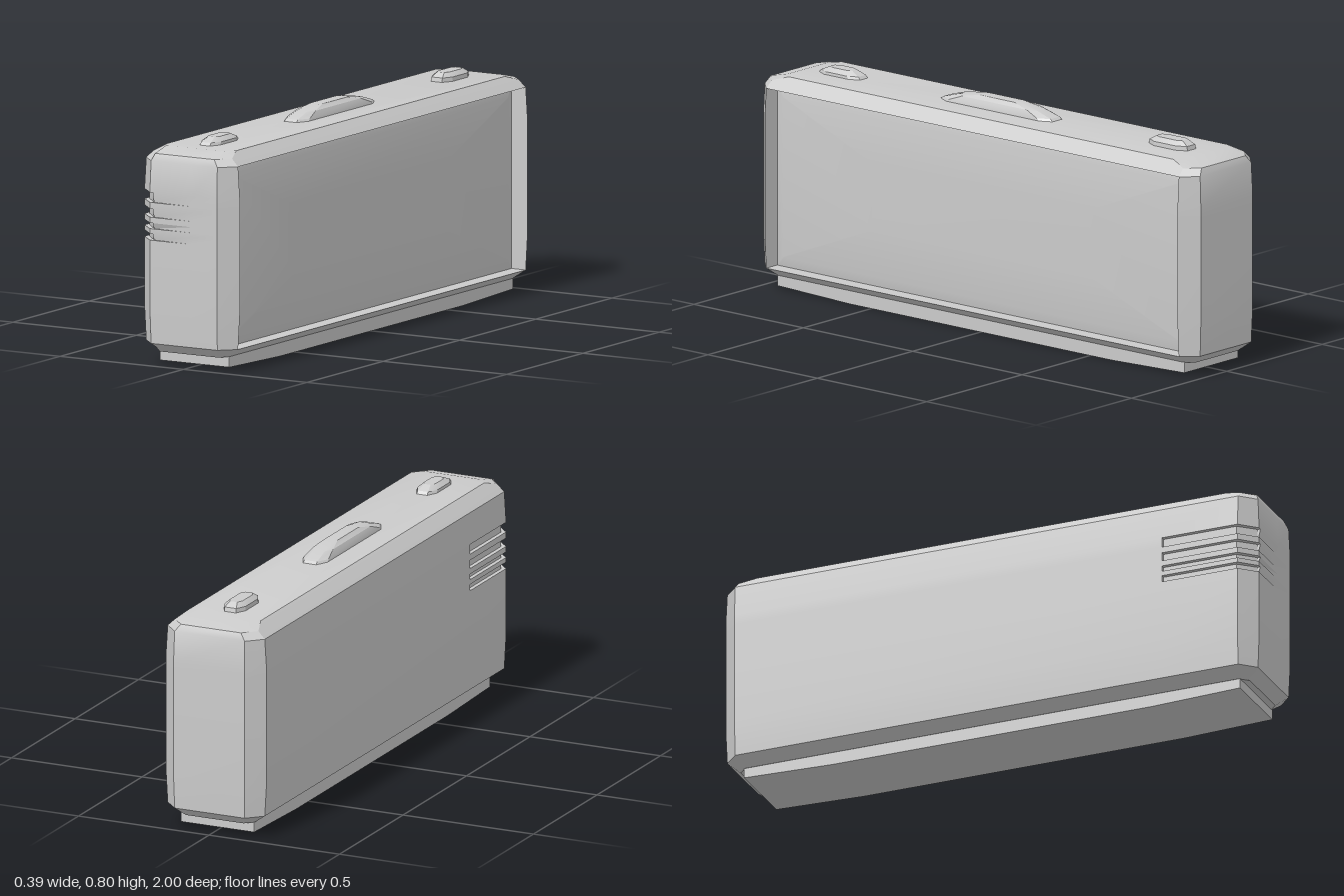
import * as THREE from 'three';
import { toCreasedNormals } from 'three/addons/utils/BufferGeometryUtils.js';

const material = new THREE.MeshStandardMaterial({ color: 0xcccccc });

// Skin a stack of closed rings (equal point counts, counterclockwise from above) and cap both ends
function loft(name, rings) {
  const n = rings[0].length, pos = [], idx = [];
  for (const ring of rings) for (const p of ring) pos.push(...p);
  for (let r = 0; r < rings.length - 1; r++) {
    for (let i = 0; i < n; i++) {
      const a = r * n + i, b = r * n + (i + 1) % n;
      idx.push(a, b, b + n, a, b + n, a + n);
    }
  }
  const top = (rings.length - 1) * n;
  for (let i = 1; i < n - 1; i++) {
    idx.push(0, i + 1, i);
    idx.push(top, top + i, top + i + 1);
  }
  const geo = new THREE.BufferGeometry();
  geo.setAttribute('position', new THREE.Float32BufferAttribute(pos, 3));
  geo.setIndex(idx);
  const mesh = new THREE.Mesh(toCreasedNormals(geo, 0.35), material);
  mesh.name = name;
  return mesh;
}

// Chamfered rectangle; the left side can be recessed, the front right corner cut back for a vent.
// corner and tail (0 or 1) switch the vent cut at the corner and its thin run along the front.
function bodyRing(y, hx, hz, c, recessed = false, corner = 0, tail = 0) {
  const px = recessed ? 0.124 : hx;
  return [
    [0.03, hz],
    [hx - c, hz],
    [hx, hz - c],
    [px, hz - c],
    [px, c - hz],
    [hx, c - hz],
    [hx - c, -hz],
    [c - hx, -hz],
    [-hx, c - hz],
    [-hx, 0.66],
    [-hx + 0.015 * corner, 0.66],
    [-hx + 0.015 * corner, hz - c - 0.01 * corner],
    [corner ? -0.125 : c - hx, hz - 0.01 * corner],
    [-0.124, hz - 0.008 * tail],
  ].map(([x, z]) => [x, y, z]);
}

// Octagonal block built from levels of [y, half width, half length, chamfer]
function slab(name, x0, z0, levels) {
  return loft(name, levels.map(([y, w, l, c]) => [
    [w - c, l], [w, l - c * 2], [w, c * 2 - l], [w - c, -l],
    [c - w, -l], [-w, c * 2 - l], [-w, l - c * 2], [c - w, l],
  ].map(([x, z]) => [x0 + x, y, z0 + z])));
}

export function createModel() {
  const group = new THREE.Group();
  group.name = 'case';

  // Body: slightly bulging shell with an opening on the left side
  const rings = [
    bodyRing(0.045, 0.14, 0.955, 0.03),
    bodyRing(0.078, 0.186, 0.995, 0.052),
    bodyRing(0.078, 0.186, 0.995, 0.052, true),
    bodyRing(0.2, 0.193, 1, 0.057, true),
  ];
  // Corner vents: four slots, deepest along their lower edge
  for (const [low, high] of [[0.44, 0.463], [0.48, 0.5], [0.52, 0.55], [0.572, 0.607]]) {
    for (const [y, corner, tail] of [[low, 0, 0], [low, 1, 1], [high, 1, 0], [high, 0, 0]]) {
      rings.push(bodyRing(y, 0.193, 1, 0.057, true, corner, tail));
    }
  }
  rings.push(
    bodyRing(0.717, 0.186, 0.995, 0.052, true),
    bodyRing(0.717, 0.186, 0.995, 0.052),
    bodyRing(0.742, 0.16, 0.985, 0.045),
    bodyRing(0.76, 0.14, 0.91, 0.03),
  );
  group.add(loft('body', rings));

  // Gently domed panel sunk in the left opening
  const panel = slab('sidePanel', 0, 0, [
    [0.12, 0.3195, 0.942, 0.002],
    [0.128, 0.3195, 0.942, 0.002],
    [0.136, 0.285, 0.91, 0.002],
    [0.14, 0.12, 0.5, 0.002],
  ]);
  panel.rotation.z = -Math.PI / 2;
  panel.position.y = 0.3975;
  group.add(panel);

  // Base plinth with a slightly rising underside at both ends
  group.add(slab('base', 0.002, 0, [
    [0, 0.141, 0.6, 0.001],
    [0.01, 0.141, 0.93, 0.001],
    [0.05, 0.141, 0.93, 0.001],
  ]));

  // Handle and two latches on top
  group.add(slab('handle', -0.006, 0.035, [
    [0.752, 0.048, 0.265, 0.022],
    [0.768, 0.046, 0.245, 0.022],
    [0.787, 0.037, 0.18, 0.016],
    [0.8, 0.023, 0.1, 0.01],
  ]));
  group.add(slab('frontLatch', -0.006, 0.757, [
    [0.752, 0.04, 0.1, 0.02],
    [0.77, 0.038, 0.085, 0.018],
    [0.785, 0.022, 0.05, 0.01],
  ]));
  group.add(slab('backLatch', -0.002, -0.75, [
    [0.752, 0.042, 0.09, 0.02],
    [0.775, 0.04, 0.085, 0.018],
    [0.79, 0.024, 0.06, 0.01],
  ]));
  return group;
}
